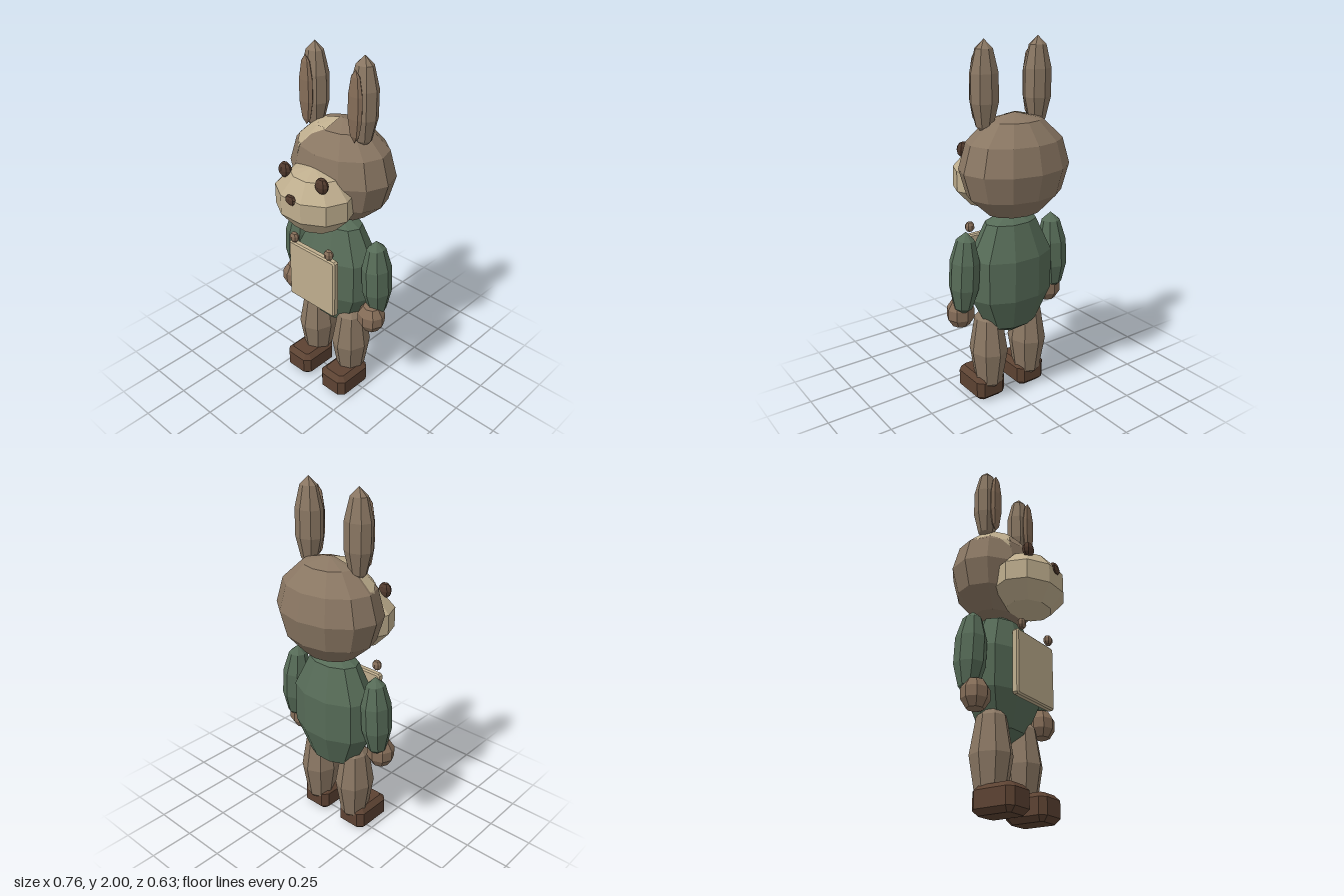
import * as THREE from 'three';

const mat = (name, color) => new THREE.MeshStandardMaterial({ name, color, flatShading: true });

export function createModel() {
  const fur = mat('fur brown', 0x8a7763);
  const tan = mat('pale tan', 0xbfae8e);
  const green = mat('jumper green', 0x566b57);
  const skin = mat('warm brown', 0x856d58);
  const shoe = mat('shoe brown', 0x5c4232);
  const dark = mat('dark brown', 0x513a2d);
  const patchTan = tan.clone();
  patchTan.side = THREE.DoubleSide;

  const model = new THREE.Group();
  const add = (name, geometry, material, x = 0, y = 0, z = 0) => {
    const mesh = new THREE.Mesh(geometry, material);
    mesh.name = name;
    mesh.position.set(x, y, z);
    model.add(mesh);
    return mesh;
  };
  // Faceted ellipsoid: centre, radii, sides around and bands from pole to pole
  const blob = (name, material, [x, y, z], [rx, ry, rz], sides, bands) =>
    add(name, new THREE.SphereGeometry(1, sides, bands).scale(rx, ry, rz), material, x, y, z);

  // Block with chamfered corners and edges, extruded upwards from y = 0
  const chamferedBlock = (w, h, d, corner, bevel) => {
    const a = w / 2 - bevel, b = d / 2 - bevel, c = corner;
    const plan = new THREE.Shape([
      [a, c - b], [a, b - c], [a - c, b], [c - a, b],
      [-a, b - c], [-a, c - b], [c - a, -b], [a - c, -b],
    ].map(([px, py]) => new THREE.Vector2(px, py)));
    const g = new THREE.ExtrudeGeometry(plan, {
      depth: h - 2 * bevel, bevelEnabled: true, bevelSize: bevel, bevelThickness: bevel, bevelSegments: 1,
    });
    return g.translate(0, 0, bevel).rotateX(-Math.PI / 2);
  };

  // Head and face
  const head = blob('head', fur, [0, 1.352, -0.08], [0.312, 0.282, 0.236], 12, 6);
  blob('muzzle', tan, [0, 1.255, 0.125], [0.237, 0.178, 0.194], 10, 5);
  blob('nose', dark, [0, 1.306, 0.295], [0.038, 0.028, 0.019], 8, 5);

  // Pale patch laid over the facets of the crown
  head.updateMatrixWorld(true);
  const ray = new THREE.Raycaster();
  const down = new THREE.Vector3(0, -1, 0);
  const outline = [[-0.26, -0.04], [-0.2, 0.04], [-0.145, 0.105], [-0.09, 0.055], [-0.01, 0.035]];
  const frontEdge = (x) => {
    const i = Math.max(1, outline.findIndex((p) => p[0] >= x - 1e-6));
    const [p, q] = [outline[i - 1], outline[i]];
    return THREE.MathUtils.mapLinear(x, p[0], q[0], p[1], q[1]);
  };
  const patch = new THREE.PlaneGeometry(1, 1, 24, 14);
  const pos = patch.attributes.position;
  for (let i = 0; i < pos.count; i++) {
    const x = -0.26 + 0.25 * (pos.getX(i) + 0.5);
    const z = THREE.MathUtils.lerp(frontEdge(x), -0.07, pos.getY(i) + 0.5);
    ray.set(new THREE.Vector3(x, 3, z), down);
    const hit = ray.intersectObject(head)[0];
    pos.setXYZ(i, x, (hit ? hit.point.y : 1.48) + 0.005, z);
  }
  add('crownPatch', patch, patchTan);

  // Body and bib
  blob('body', green, [0, 0.75, -0.048], [0.265, 0.37, 0.17], 10, 5);
  const bib = chamferedBlock(0.34, 0.04, 0.355, 0.006, 0.008).rotateX(Math.PI / 2);
  add('bib', bib, tan, 0, 0.758, 0.125);

  // Paired parts
  for (const s of [1, -1]) {
    const side = s > 0 ? 'left' : 'right';
    blob(side + 'Ear', fur, [s * 0.165, 1.765, -0.05], [0.082, 0.235, 0.07], 8, 5);
    blob(side + 'InnerEar', skin, [s * 0.165, 1.76, 0.015], [0.048, 0.185, 0.024], 8, 5);
    blob(side + 'Eye', dark, [s * 0.13, 1.4, 0.208], [0.04, 0.043, 0.029], 8, 6);
    blob(side + 'Arm', green, [s * 0.295, 0.8, -0.04], [0.083, 0.235, 0.09], 8, 5).rotation.z = s * 0.06;
    blob(side + 'Hand', skin, [s * 0.298, 0.565, 0], [0.082, 0.09, 0.076], 8, 5);
    blob(side + 'Button', skin, [s * 0.128, 0.972, 0.16], [0.029, 0.031, 0.024], 8, 5);
    blob(side + 'Leg', fur, [s * 0.133, 0.3, -0.022], [0.104, 0.28, 0.117], 8, 4);
    add(side + 'Shoe', chamferedBlock(0.185, 0.145, 0.246, 0.015, 0.028), shoe, s * 0.139, 0, 0.042);
  }
  return model;
}
